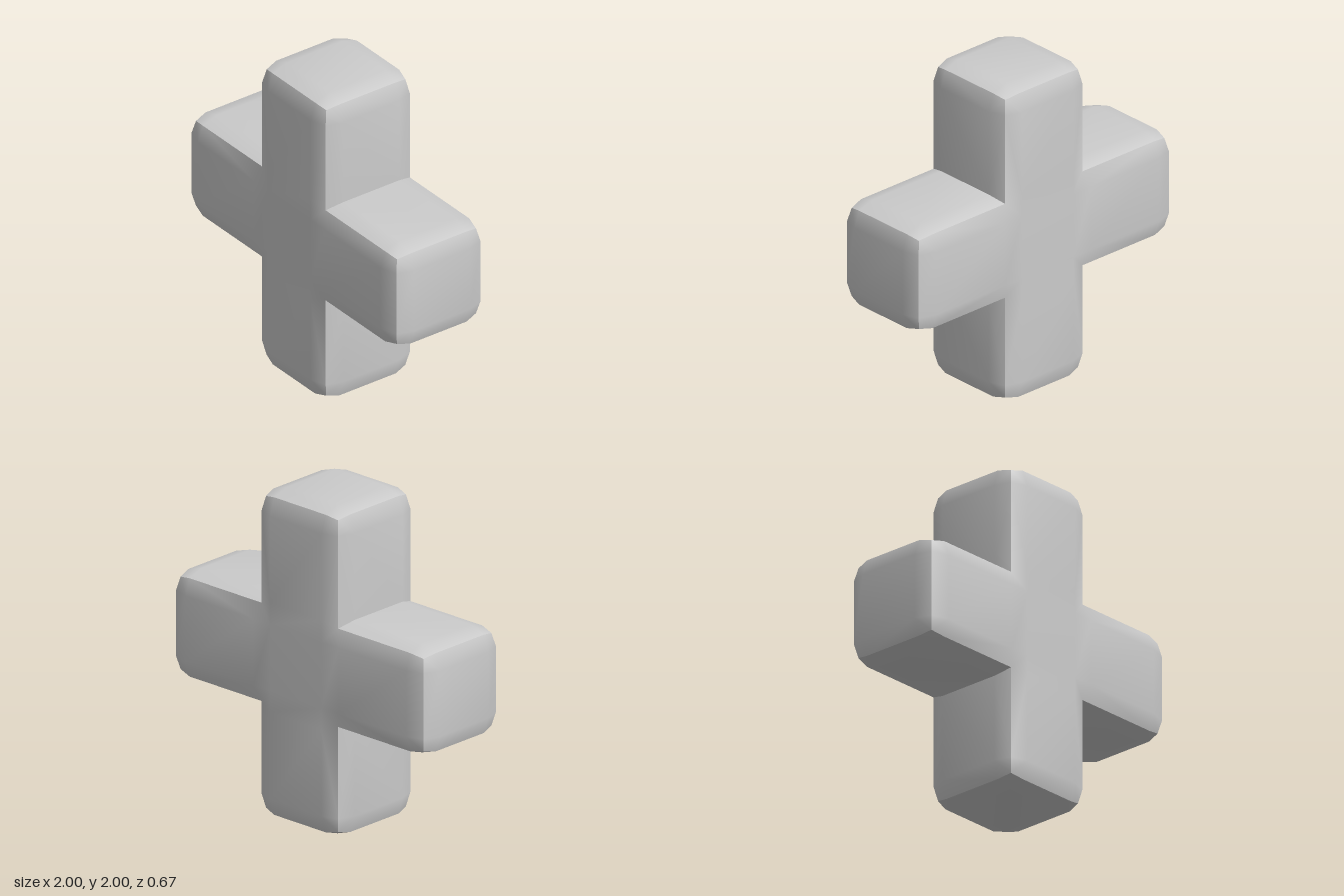
import * as THREE from 'three';

const H = 0.333; // half width of the arms
const ARM = [H, 0.86, 1];
const ACROSS = [-H, -0.2, 0.2, H];
const FULL = [-1, -0.86, ...ACROSS, 0.86, 1];
const PULL = [0, 0, 0.034, 0.052]; // inset of face, edge and corner points

// Draws in points that lie on edges and corners, so every face is pillowed
function pillow([x, y, z]) {
  const ax = Math.abs(x), ay = Math.abs(y);
  const onX = ax === 1 || (ax === H && ay >= H);
  const onY = ay === 1 || (ay === H && ax >= H);
  const onZ = Math.abs(z) === H;
  const inner = ax === H && ay === H;
  const pull = PULL[(inner ? 1 : onX + onY) + onZ];
  const inset = (c, on) => (on ? c - Math.sign(c) * pull : c);
  return [inset(x, onX), inset(y, onY), inset(z, onZ)];
}

// Smooth grid patch; u cross v points outwards
function patch(us, vs, place, keep = () => true) {
  const pos = [], index = [], n = us.length;
  for (const v of vs) for (const u of us) pos.push(...pillow(place(u, v)));
  for (let j = 0; j < vs.length - 1; j++) {
    for (let i = 0; i < n - 1; i++) {
      if (!keep(i, j)) continue;
      const a = j * n + i, b = a + 1, c = b + n, d = a + n;
      // Mirrored diagonals keep the patch symmetric
      if ((us[i] + us[i + 1]) * (vs[j] + vs[j + 1]) >= 0) index.push(a, b, c, a, c, d);
      else index.push(a, b, d, b, c, d);
    }
  }
  const g = new THREE.BufferGeometry();
  g.setAttribute('position', new THREE.Float32BufferAttribute(pos, 3));
  g.setIndex(index);
  g.computeVertexNormals();
  return g;
}

export function createModel() {
  const model = new THREE.Group();
  model.name = 'cross';
  const material = new THREE.MeshStandardMaterial({ color: 0xcccccc });
  const add = (parent, geometry, name) => {
    const mesh = new THREE.Mesh(geometry, material);
    mesh.name = name;
    parent.add(mesh);
    return mesh;
  };

  // Cross-shaped front and back
  const mid = (k) => k >= 2 && k <= 4;
  const face = patch(FULL, FULL, (u, v) => [u, v, H], (i, j) => mid(i) || mid(j));
  add(model, face, 'frontFace');
  add(model, face, 'backFace').rotation.y = Math.PI;

  // Four arms: an end cap and two side walls each
  const cap = patch(ACROSS, ACROSS, (u, v) => [1, v, -u]);
  const wall = patch(ARM, ACROSS, (u, v) => [u, H, -v]);
  ['leftArm', 'topArm', 'rightArm', 'bottomArm'].forEach((name, k) => {
    const arm = new THREE.Group();
    arm.name = name;
    add(arm, cap, 'endCap');
    add(arm, wall, 'sideWall');
    add(arm, wall, 'oppositeSideWall').rotation.x = Math.PI;
    arm.rotation.z = (k * Math.PI) / 2;
    model.add(arm);
  });

  // Stand the cross on the ground
  model.children.forEach((part) => { part.position.y = 1; });
  return model;
}
